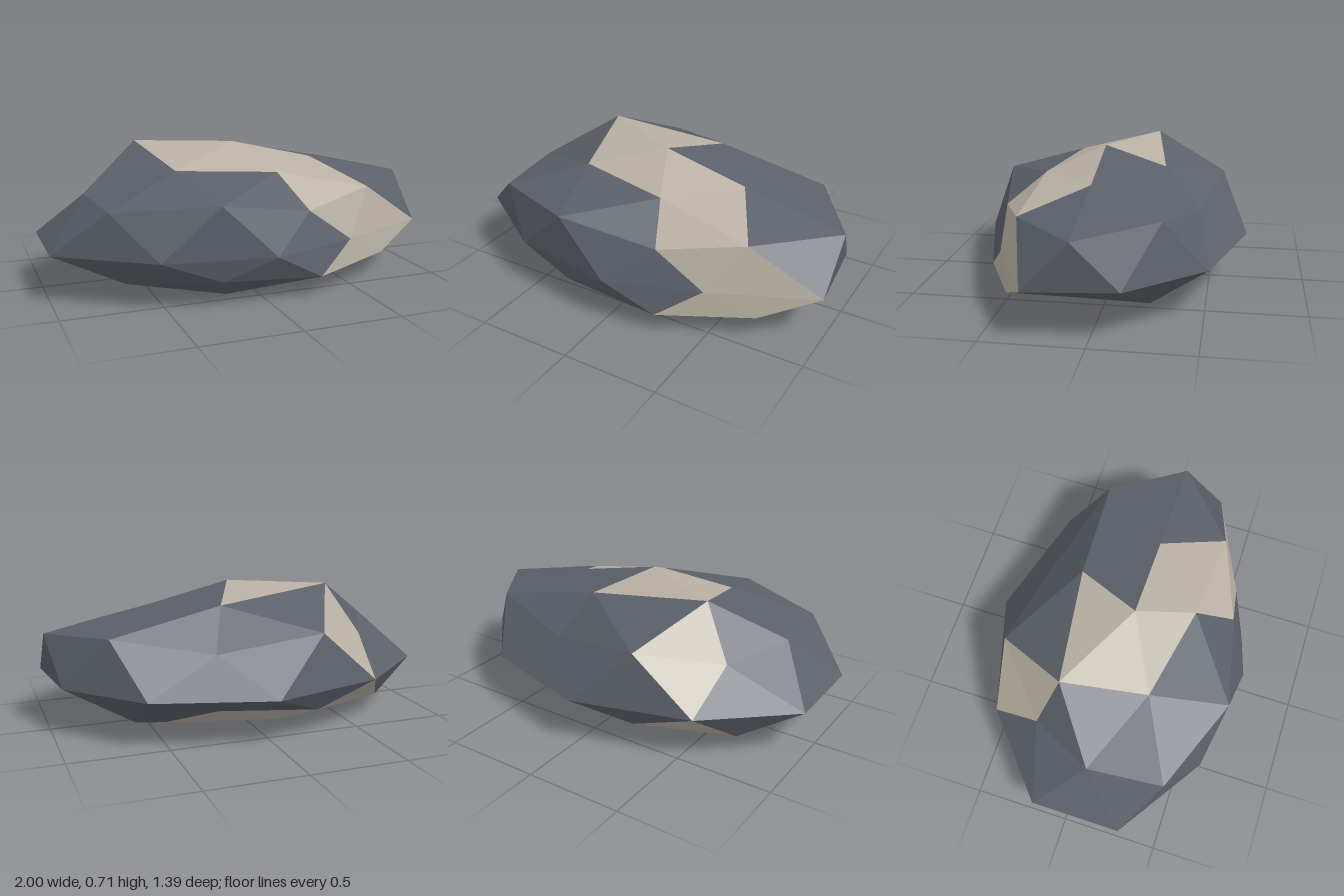
import * as THREE from 'three';

const stone = new THREE.MeshStandardMaterial({ color: 0x5b6069, flatShading: true });
stone.name = 'slate grey stone';
const vein = new THREE.MeshStandardMaterial({ color: 0xb8b0a3, flatShading: true });
vein.name = 'pale quartz';

// Rings of a once-divided icosahedron: height, radius, first angle, angle step, bulge per vertex
const rings = [
  [1, 0, 0, 0, [0.948]],
  [0.851, 0.526, 0, 72, [0.856, 0.82, 0.87, 1.1, 0.945]],
  [0, 0, 0, 36, [1.107, 0.92, 0.81, 1.025, 1.05, 0.935, 0.875, 1.08, 0.875, 1.06]],
  [0, 1, 18, 36, [1.041, 0.803, 0.886, 0.94, 1.062, 1.062, 1.022, 1.07, 1.02, 0.988]],
  [0, 0, 0, 36, [0.845, 0.985, 0.99, 0.93, 0.975, 0.984, 1.05, 0.988, 0.81, 0.83]],
  [-0.851, 0.526, 36, 72, [0.94, 1.05, 1.065, 1.01, 0.99]],
  [-1, 0, 0, 0, [0.91]],
];
const centre = new THREE.Vector3(0.01, 0.25, 0.067);

function makePoints() {
  const points = [];
  rings.forEach(([h, r, start, step, bulges], ring) => {
    bulges.forEach((f, i) => {
      let y = h, radius = r;
      // Rings beside the equator alternate between corners and edge midpoints
      if (ring === 2 || ring === 4) {
        const corner = (i % 2 === 0) === (ring === 2);
        y = (corner ? 0.447 : 0.526) * (ring === 2 ? 1 : -1);
        radius = corner ? 0.894 : 0.851;
      }
      const a = THREE.MathUtils.degToRad(start + i * step);
      // The underside is flattened, except for one low corner
      const lowCorner = ring === 4 && i === 9;
      const tall = y > 0 || lowCorner ? 0.485 : 0.275;
      points.push(new THREE.Vector3(
        radius * f * Math.cos(a), y * f * tall, radius * f * Math.sin(a) * 0.71).add(centre));
    });
  });
  return points;
}

function makeFaces() {
  const top = (k) => 1 + k % 5;
  const upper = (j) => 6 + j % 10;
  const waist = (j) => 16 + (j + 10) % 10;
  const lower = (j) => 26 + j % 10;
  const base = (k) => 36 + k % 5;
  const faces = [];
  for (let k = 0; k < 5; k++) {
    const j = 2 * k;
    faces.push(
      [0, top(k), top(k + 1)],
      [top(k), top(k + 1), upper(j + 1)],
      [top(k), upper(j), upper(j + 1)],
      [top(k + 1), upper(j + 1), upper(j + 2)],
      [base(k), lower(j), lower(j + 1)],
      [base(k), lower(j + 1), lower(j + 2)],
      [base(k), base(k + 1), lower(j + 2)],
      [41, base(k), base(k + 1)]);
  }
  for (let j = 0; j < 10; j++) {
    for (const side of [upper, lower]) {
      faces.push([side(j), side(j + 1), waist(j)], [side(j), waist(j - 1), waist(j)]);
    }
  }
  return faces;
}

// Facets crossed by the pale vein, following it once around the rock
const veinFacets = new Set((
  '0-4-5 0-3-4 0-2-3 0-1-2 1-2-7 2-7-8 7-8-17 7-16-17 16-17-27 17-27-28 27-28-36 ' +
  '26-27-36 26-36-40 36-40-41 39-40-41 34-39-40 33-34-39 32-33-39 22-32-33 12-13-22 4-12-13'
).split(' '));

function facetMesh(name, faces, points, material) {
  const corners = [];
  for (const face of faces) {
    let [a, b, c] = face.map((i) => points[i]);
    // Turn every facet outwards
    const normal = b.clone().sub(a).cross(c.clone().sub(a));
    const middle = a.clone().add(b).add(c).divideScalar(3).sub(centre);
    if (normal.dot(middle) < 0) [b, c] = [c, b];
    corners.push(a, b, c);
  }
  const geometry = new THREE.BufferGeometry().setFromPoints(corners);
  geometry.computeVertexNormals();
  const mesh = new THREE.Mesh(geometry, material);
  mesh.name = name;
  return mesh;
}

export function createModel() {
  const group = new THREE.Group();
  group.name = 'veinedRock';
  const points = makePoints();
  const lowest = Math.min(...points.map((p) => p.y));
  points.forEach((p) => { p.y -= lowest; });
  const faces = makeFaces();
  const isVein = (f) => veinFacets.has([...f].sort((a, b) => a - b).join('-'));
  group.add(
    facetMesh('rockBody', faces.filter((f) => !isVein(f)), points, stone),
    facetMesh('quartzVein', faces.filter(isVein), points, vein));
  return group;
}
